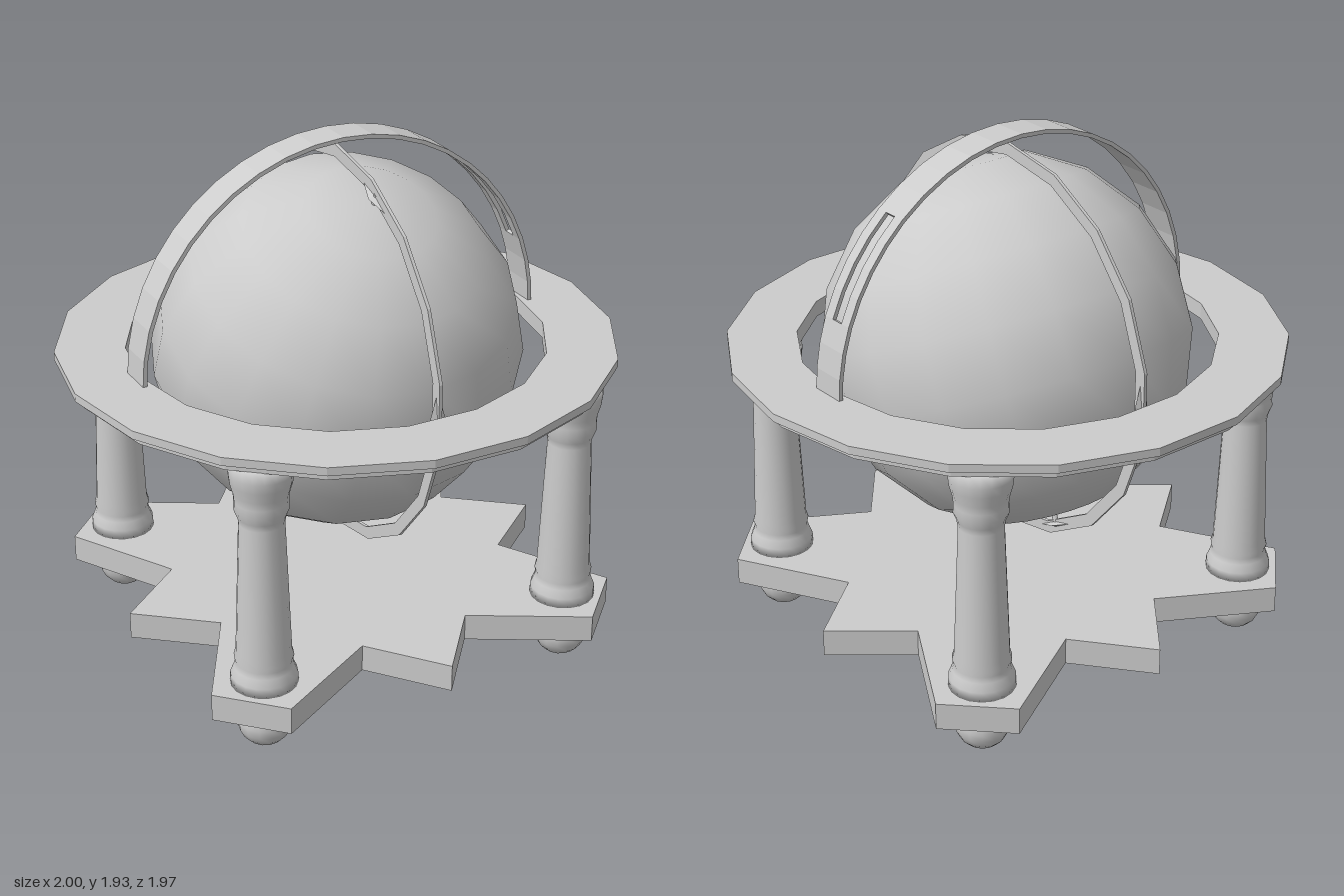
import * as THREE from 'three';

const TILT = THREE.MathUtils.degToRad(23.5);
const CENTRE = 1.148;
const SIDES = 18;

export function createModel() {
  const model = new THREE.Group();
  const mat = new THREE.MeshStandardMaterial({ color: 0xcccccc });
  const flat = new THREE.MeshStandardMaterial({ color: 0xcccccc, flatShading: true });

  const add = (name, geometry, material = mat, parent = model) => {
    const mesh = new THREE.Mesh(geometry, material);
    mesh.name = name;
    parent.add(mesh);
    return mesh;
  };
  const polygon = (r, offset = 0) => Array.from({ length: SIDES }, (_, i) => {
    const a = offset + (i / SIDES) * Math.PI * 2;
    return new THREE.Vector2(r * Math.cos(a), r * Math.sin(a));
  });
  const extrude = (shape, depth) =>
    new THREE.ExtrudeGeometry(shape, { depth, bevelEnabled: false, curveSegments: 12 });
  const ring = (outer, inner, depth, offset) => {
    const shape = new THREE.Shape(polygon(outer, offset));
    shape.holes.push(new THREE.Path(polygon(inner, offset)));
    return extrude(shape, depth);
  };

  // Eight-pointed star base: sharp axis tips, blunt diagonal arms
  const starPoints = [];
  for (let i = 0; i < 4; i++) {
    const turn = i * Math.PI / 2;
    for (const [x, y] of [[0.84, 0], [0.58, 0.21], [0.805, 0.605], [0.605, 0.805], [0.21, 0.58]]) {
      starPoints.push(new THREE.Vector2(x, y).rotateAround(new THREE.Vector2(), turn));
    }
  }
  add('starBase', extrude(new THREE.Shape(starPoints), 0.1).rotateX(-Math.PI / 2).translate(0, 0.15, 0), flat);

  // Four turned columns with ball feet
  const profile = [
    [0, 0.25], [0.118, 0.25], [0.116, 0.285], [0.104, 0.315], [0.098, 0.335], [0.103, 0.355],
    [0.096, 0.38], [0.078, 0.87], [0.082, 0.895], [0.094, 0.925], [0.092, 0.955],
    [0.095, 0.985], [0.106, 1.025], [0.11, 1.06], [0.108, 1.106], [0, 1.106],
  ].map(([r, y]) => new THREE.Vector2(r, y));
  const columnGeometry = new THREE.LatheGeometry(profile, 18);
  const footGeometry = new THREE.SphereGeometry(0.098, 14, 10);
  for (const x of [-0.605, 0.605]) {
    for (const z of [-0.605, 0.605]) {
      add('column', columnGeometry).position.set(x, 0, z);
      add('ballFoot', footGeometry).position.set(x, 0.098, z);
    }
  }

  // Two-layer horizon ring
  add('horizonRingTop', ring(1, 0.75, 0.03).rotateX(-Math.PI / 2).translate(0, 1.135, 0), flat);
  add('horizonRingLower', ring(0.97, 0.75, 0.03).rotateX(-Math.PI / 2).translate(0, 1.105, 0), flat);

  // Tilted globe
  const globe = add('globe', new THREE.SphereGeometry(0.665, 18, 9).rotateY(Math.PI / 18));
  globe.position.y = CENTRE;
  globe.rotation.x = TILT;

  // Thin upright meridian ring
  add('meridianRing', ring(0.735, 0.69, 0.012, Math.PI / 2)
    .translate(0, 0, -0.006).rotateY(Math.PI / 2).translate(0, CENTRE, 0), flat);

  // Pointed clips on the meridian, at both poles and at front and back
  const clipGeometry = new THREE.OctahedronGeometry(1).scale(0.028, 0.012, 0.1);
  const pinGeometry = new THREE.CylinderGeometry(0.01, 0.01, 0.06, 8);
  for (const [angle, radius, pin] of [
    [TILT, 0.69, true], [TILT + Math.PI, 0.7, true], [Math.PI / 2, 0.705, false], [-Math.PI / 2, 0.705, false],
  ]) {
    const holder = new THREE.Group();
    holder.name = 'meridianClip';
    holder.position.y = CENTRE;
    holder.rotation.x = angle;
    add('clip', clipGeometry, flat, holder).position.y = radius;
    if (pin) add('polePin', pinGeometry, mat, holder).position.y = 0.675;
    model.add(holder);
  }

  // Arch over the globe, with a long slot on its left side
  const arch = new THREE.Group();
  arch.name = 'arch';
  arch.position.y = CENTRE;
  model.add(arch);
  const band = (from, to, z0, z1) => {
    const a = THREE.MathUtils.degToRad(from), b = THREE.MathUtils.degToRad(to);
    const steps = Math.max(2, Math.round((to - from) / 8));
    const points = [];
    for (const [r, s, e] of [[0.78, a, b], [0.765, b, a]]) {
      for (let i = 0; i <= steps; i++) {
        const t = s + (e - s) * i / steps;
        points.push(new THREE.Vector2(r * Math.cos(t), r * Math.sin(t)));
      }
    }
    add('archBand', extrude(new THREE.Shape(points), z1 - z0).translate(0, 0, z0), flat, arch);
  };
  band(0, 20.5, -0.066, 0.066);
  band(20.5, 50, -0.066, -0.024);
  band(20.5, 50, 0.024, 0.066);
  band(50, 180, -0.066, 0.066);

  return model;
}
